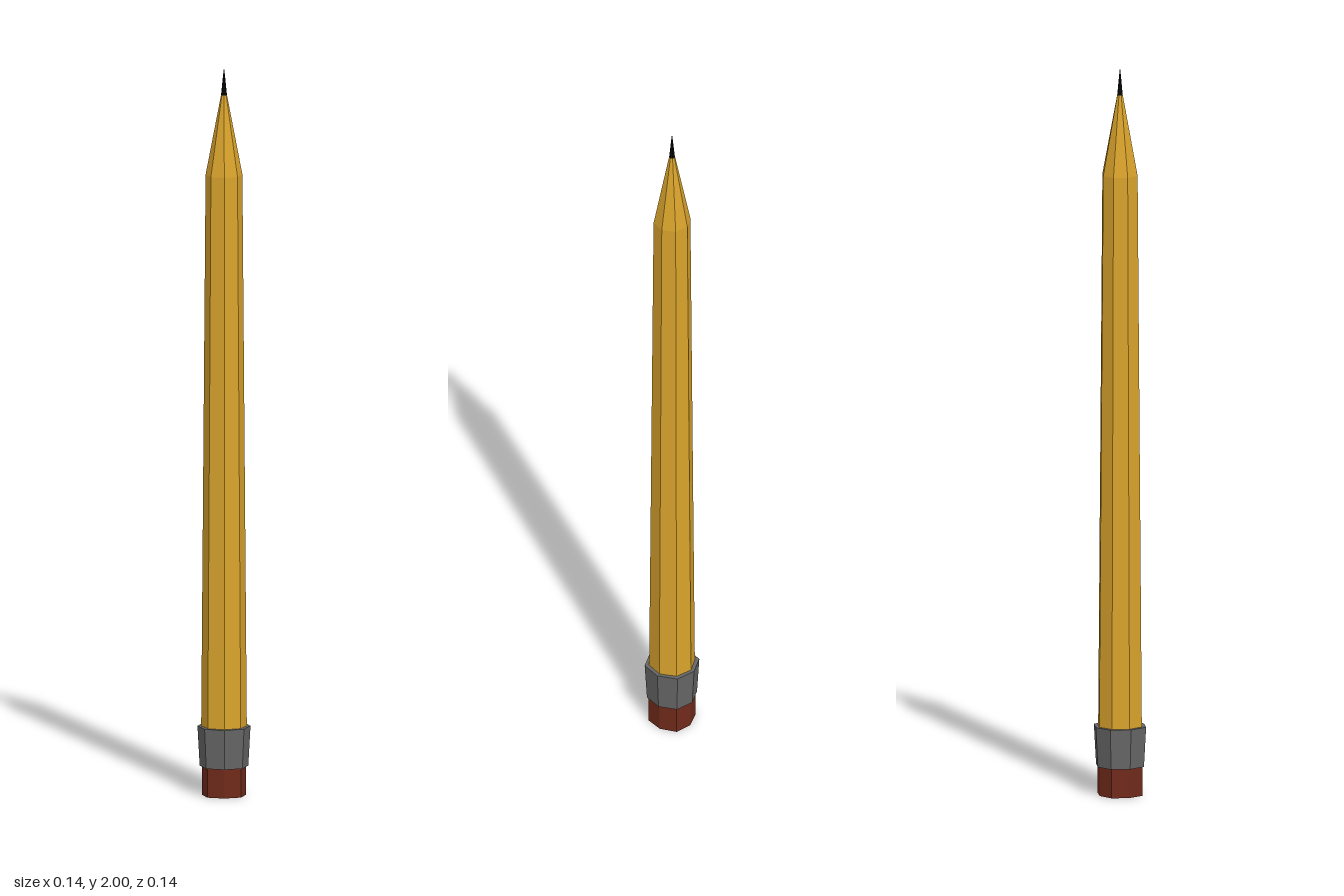
import * as THREE from 'three';

const SIDES = 8;

// One eight-sided tapered section standing between two heights.
// bulge pushes the diagonal corners out a little from the regular octagon.
function section(name, color, y0, y1, bottomRadius, topRadius, bulge = 1) {
  const geometry = new THREE.CylinderGeometry(topRadius, bottomRadius, y1 - y0, SIDES);
  geometry.translate(0, (y0 + y1) / 2, 0);
  const pos = geometry.attributes.position;
  for (let i = 0; i < pos.count; i++) {
    const x = pos.getX(i), z = pos.getZ(i);
    if (Math.abs(x * z) > 1e-6) pos.setXYZ(i, x * bulge, pos.getY(i), z * bulge);
  }
  geometry.computeVertexNormals();
  const mesh = new THREE.Mesh(
    geometry,
    new THREE.MeshStandardMaterial({ color, flatShading: true })
  );
  mesh.name = name;
  return mesh;
}

export function createModel() {
  const pencil = new THREE.Group();
  pencil.name = 'pencil';
  const yellow = 0xd9a32c;

  pencil.add(
    // Eraser stub the pencil stands on
    section('eraser', 0x702a1b, 0, 0.09, 0.06, 0.06, 1.08),
    // Metal band, flaring slightly upwards
    section('ferrule', 0x666666, 0.08, 0.19, 0.066, 0.072, 1.05),
    // Long shaft, narrowing towards the shoulder
    section('shaft', yellow, 0.18, 1.71, 0.062, 0.05, 1.02),
    // Sharpened cone
    section('sharpenedCone', yellow, 1.71, 1.93, 0.05, 0.008, 1.02),
    // Lead point
    section('leadPoint', 0x0c0c0c, 1.92, 2, 0.009, 0.001)
  );
  return pencil;
}
